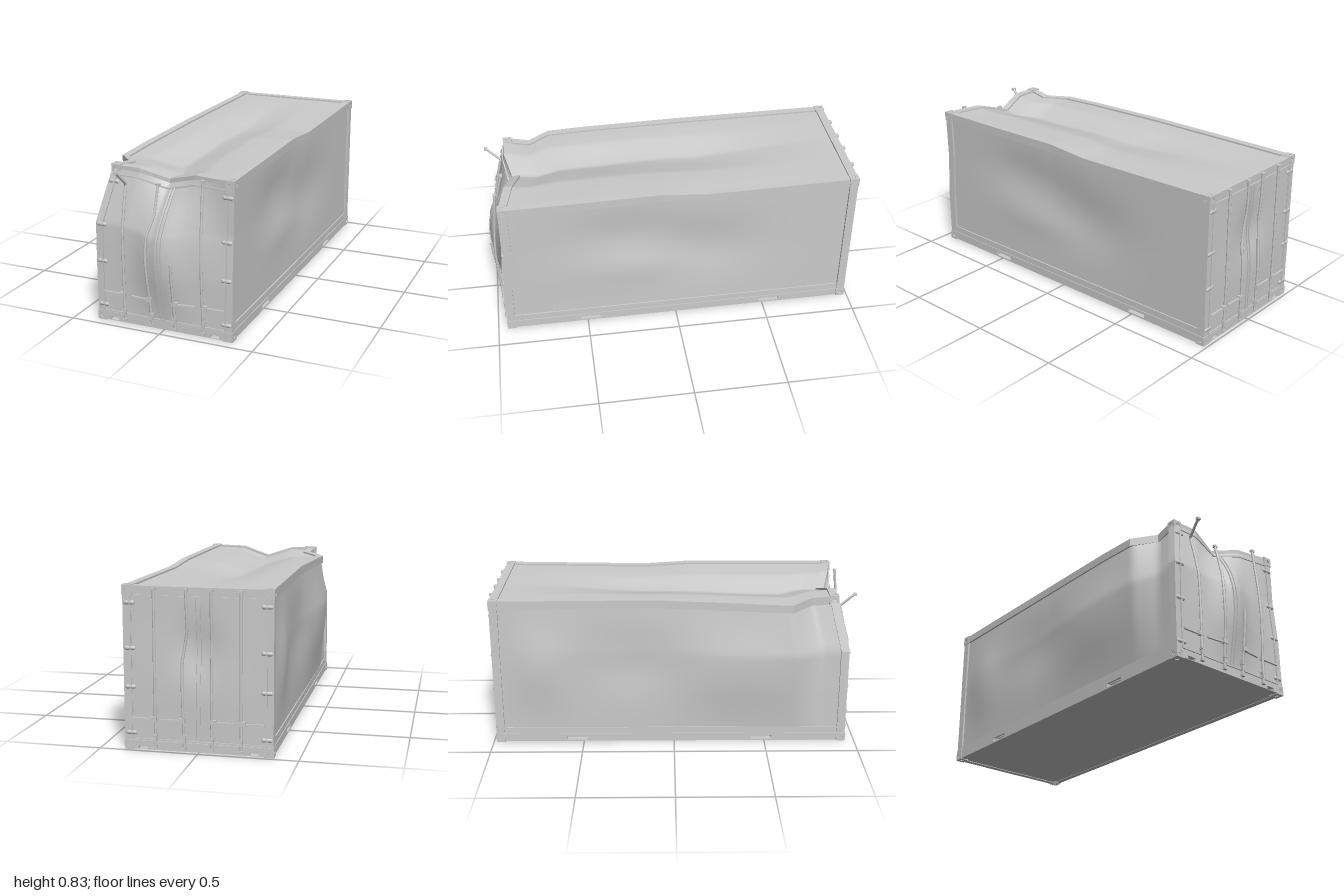
import * as THREE from 'three';

const V = (x, y, z) => new THREE.Vector3(x, y, z);
const X = V(1, 0, 0), Y = V(0, 1, 0), Z = V(0, 0, 1);
const grey = new THREE.MeshStandardMaterial({ color: 0xcccccc });
const sheet = new THREE.MeshStandardMaterial({ color: 0xcccccc, side: THREE.DoubleSide });
const bump = (a, b, ca, cb, ra, rb) => Math.exp(-(((a - ca) / ra) ** 2) - ((b - cb) / rb) ** 2);

function add(group, name, geometry, position, material = grey) {
  const mesh = new THREE.Mesh(geometry, material);
  mesh.name = name;
  if (position) mesh.position.copy(position);
  group.add(mesh);
  return mesh;
}

function path(points) {
  const curve = new THREE.CurvePath();
  for (let i = 1; i < points.length; i++) curve.add(new THREE.LineCurve3(points[i - 1], points[i]));
  return curve;
}

// Rectangular bar along bent points, its section spanned by two fixed axes
function beam(points, A, a, B, b) {
  const along = points.at(-1).clone().sub(points[0]);
  const pts = A.clone().cross(B).dot(along) < 0 ? [...points].reverse() : points;
  const pos = [], idx = [];
  for (const p of pts)
    for (const [s, t] of [[-1, -1], [1, -1], [1, 1], [-1, 1]])
      pos.push(...p.clone().addScaledVector(A, s * a).addScaledVector(B, t * b).toArray());
  const n = (pts.length - 1) * 4;
  for (let k = 0; k < n; k += 4)
    for (let i = 0; i < 4; i++) {
      const j = (i + 1) % 4;
      idx.push(k + i, k + j, k + 4 + j, k + i, k + 4 + j, k + 4 + i);
    }
  idx.push(0, 2, 1, 0, 3, 2, n, n + 1, n + 2, n, n + 2, n + 3);
  const g = new THREE.BufferGeometry();
  g.setAttribute('position', new THREE.Float32BufferAttribute(pos, 3));
  g.setIndex(idx);
  const flat = g.toNonIndexed();
  flat.computeVertexNormals();
  return flat;
}

// Surface stretched between four frame members, pushed along one axis by a dent rule
function patch(low, high, start, end, axis, dent) {
  const [c0, c1, d0, d1] = [low, high, start, end].map(path);
  const corner = [c0.getPoint(0), c0.getPoint(1), c1.getPoint(0), c1.getPoint(1)];
  return (u, v) => c0.getPoint(u).multiplyScalar(1 - v)
    .addScaledVector(c1.getPoint(u), v)
    .addScaledVector(d0.getPoint(v), 1 - u).addScaledVector(d1.getPoint(v), u)
    .addScaledVector(corner[0], -(1 - u) * (1 - v)).addScaledVector(corner[1], -u * (1 - v))
    .addScaledVector(corner[2], -(1 - u) * v).addScaledVector(corner[3], -u * v)
    .addScaledVector(axis, dent(u, v));
}

function panel(surface, nu, nv) {
  const g = new THREE.PlaneGeometry(1, 1, nu, nv);
  const p = g.attributes.position, uv = g.attributes.uv;
  for (let i = 0; i < p.count; i++) p.setXYZ(i, ...surface(uv.getX(i), uv.getY(i)).toArray());
  g.computeVertexNormals();
  return g;
}

// Bottom rail plate with fork pockets cut through it
function pocketRail(length, centres, halfWidth, y0, y1) {
  const rect = (T, x0, x1, a, b) => {
    const s = new T();
    s.moveTo(x0, a); s.lineTo(x1, a); s.lineTo(x1, b); s.lineTo(x0, b); s.closePath();
    return s;
  };
  const shape = rect(THREE.Shape, -length / 2, length / 2, 0.005, 0.05);
  for (const c of centres) shape.holes.push(rect(THREE.Path, c - halfWidth, c + halfWidth, y0, y1));
  return new THREE.ExtrudeGeometry(shape, { depth: 0.03, bevelEnabled: false }).translate(0, 0, -0.005);
}

// Hollow corner block: six holed plates around a core
function cornerCasting(position) {
  const group = new THREE.Group();
  group.name = 'cornerCasting';
  group.position.copy(position);
  const h = 0.025, s = new THREE.Shape();
  s.moveTo(-h, -h); s.lineTo(h, -h); s.lineTo(h, h); s.lineTo(-h, h); s.closePath();
  s.holes.push(new THREE.Path().absarc(0, 0, 0.012, 0, Math.PI * 2, true));
  const plate = new THREE.ExtrudeGeometry(s, { depth: 0.008, bevelEnabled: false, curveSegments: 8 }).translate(0, 0, 0.017);
  for (let i = 0; i < 4; i++) add(group, 'castingPlate', plate).rotation.y = i * Math.PI / 2;
  for (const r of [-1, 1]) add(group, 'castingPlate', plate).rotation.x = r * Math.PI / 2;
  add(group, 'castingCore', new THREE.BoxGeometry(0.034, 0.034, 0.034));
  return group;
}

// Double doors with seals, lock rods, handles and hinges
function doorEnd(name, surface, sign, rods) {
  const group = new THREE.Group();
  group.name = name;
  add(group, 'doorPanels', panel(surface, 64, 48), null, sheet);
  const zAt = (x, y) => {
    let u = 0.5, v = 0.5, p;
    for (let i = 0; i < 12; i++) {
      p = surface(u, v);
      u = THREE.MathUtils.clamp(u + (x - p.x) / 0.71, 0, 1);
      v = THREE.MathUtils.clamp(v + (y - p.y) / 0.77, 0, 1);
    }
    return surface(u, v).z;
  };
  const steps = [...Array(25).keys()].map(i => i / 24);
  for (const u of [0.02, 0.485, 0.515, 0.98])
    add(group, 'doorSeal', beam(steps.map(t => surface(u, 0.04 + 0.93 * t)), X, 0.004, Z, 0.006));
  for (const v of [0.04, 0.965])
    add(group, 'doorSeal', beam(steps.map(t => surface(0.02 + 0.96 * t, v)), Y, 0.004, Z, 0.006));
  for (const rod of rods) {
    const at = (x, y, push = 0) => V(x, y, zAt(x, y) + sign * (0.01 + push));
    // Rod is resampled so that it follows the buckled doors
    const pts = [];
    for (let i = 0; i < rod.length - 1; i++)
      for (let k = 0; k < 6; k++) {
        const [a, b] = [rod[i], rod[i + 1]].map(([x, y, push = 0]) => V(x, y, push));
        pts.push(at(...a.lerp(b, k / 6).toArray()));
      }
    pts.push(at(...rod.at(-1)));
    add(group, 'lockRod', new THREE.TubeGeometry(path(pts), 48, 0.007, 8));
    const [x, y] = rod[0], dir = Math.sign(rod[0][2] ?? 1);
    const top = pts.at(-1);
    for (const [w, h, py] of [[0.02, 0.012, 0.025], [0.015, 0.025, 0.065], [0.02, 0.008, 0.085]])
      add(group, 'rodKeeper', new THREE.BoxGeometry(w, h, 0.018), at(x, py, -0.001));
    if (top.y > 0.5) add(group, 'rodCam', new THREE.BoxGeometry(0.022, 0.012, 0.016), top);
    const side = Math.abs(x) > 0 ? Math.sign(x) : dir;
    add(group, 'handleHub', new THREE.BoxGeometry(0.03, 0.022, 0.018), at(x + side * 0.008, 0.165));
    add(group, 'handle', beam([0, 0.04, 0.08, 0.115].map(d => at(x + side * d, 0.162)), Y, 0.005, Z, 0.005));
  }
  const hinge = new THREE.CapsuleGeometry(0.011, 0.035, 4, 8).rotateZ(Math.PI / 2).scale(1, 1, 0.7);
  for (const v of [0.08, 0.38, 0.63, 0.92])
    for (const u of [0.015, 0.985]) add(group, 'hinge', hinge, surface(u, v));
  return group;
}

export function createModel() {
  const model = new THREE.Group();
  model.name = 'dentedContainer';

  // Frame corners and bent centre lines
  const bRL = V(-0.352, 0.026, -0.96), bRR = V(0.352, 0.026, -0.96);
  const bFL = V(-0.352, 0.026, 0.925), bFR = V(0.352, 0.026, 0.925);
  const tRL = V(-0.352, 0.8, -0.96), tRR = V(0.352, 0.8, -0.96);
  const tFL = V(-0.28, 0.8, 0.86), tFR = V(0.355, 0.8, 0.905);
  const postFL = [bFL, V(-0.352, 0.3, 0.925), V(-0.348, 0.53, 0.925), tFL];
  const postFR = [bFR, V(0.352, 0.3, 0.923), V(0.352, 0.55, 0.905), tFR];
  const postRL = [bRL, tRL], postRR = [bRR, tRR];
  const railL = [tRL, V(-0.345, 0.802, -0.1), V(-0.36, 0.785, 0.4), V(-0.362, 0.775, 0.63), V(-0.265, 0.785, 0.74), tFL];
  const railR = [tRR, V(0.352, 0.788, -0.17), V(0.346, 0.805, 0.08), V(0.352, 0.802, 0.5), tFR];
  const headF = [tFL, V(-0.15, 0.798, 0.862), V(0, 0.75, 0.825), V(0.16, 0.798, 0.868), tFR];
  const headR = [tRL, tRR];

  for (const p of [postFL, postFR, postRL, postRR]) add(model, 'cornerPost', beam(p, X, 0.022, Z, 0.022));
  for (const p of [railL, railR]) add(model, 'topSideRail', beam(p, X, 0.021, Y, 0.022));
  for (const p of [headF, headR]) add(model, 'topEndRail', beam(p, Y, 0.021, Z, 0.022));
  for (const p of [bRL, bRR, bFL, bFR, tRL, tRR, tFL, tFR]) model.add(cornerCasting(p));

  // Bottom rails, fork pockets and floor
  for (const s of [-1, 1]) {
    const side = add(model, 'bottomSideRail', pocketRail(1.88, [-s * 0.52, s * 0.02 - s * 0.52 + s * 1.0].map(c => -c), 0.055, 0.014, 0.034));
    side.position.set(s * 0.348, 0, -0.0175);
    side.rotation.y = s * Math.PI / 2;
    const end = add(model, 'bottomEndRail', pocketRail(0.7, [-0.28, 0.28], 0.024, 0.008, 0.024));
    end.position.z = s > 0 ? 0.924 : -0.96;
    if (s < 0) end.rotation.y = Math.PI;
    add(model, 'lowerFlange', new THREE.BoxGeometry(0.016, 0.036, 1.85), V(s * 0.361, 0.067, -0.0175));
  }
  add(model, 'floor', new THREE.BoxGeometry(0.69, 0.03, 1.87), V(0, 0.023, -0.0175));

  // Dented walls and roof
  const wallR = patch([bRR, bFR], railR, postRR, postFR, X, (u, v) => 0.01 - Math.sin(Math.PI * u) ** 0.5 * Math.sin(Math.PI * v) ** 0.5 *
    (0.022 * bump(u, v, 0.68, 0.72, 0.16, 0.2) + 0.022 * bump(u, v, 0.42, 0.55, 0.16, 0.25) - 0.008 * bump(u, v, 0.62, 0.4, 0.15, 0.12)));
  const wallL = patch([bRL, bFL], railL, postRL, postFL, X, (u, v) => -0.01 - Math.sin(Math.PI * v) *
    (0.022 * bump(u, v, 0.12, 0.55, 0.08, 0.35) + 0.018 * bump(u, v, 0.68, 0.5, 0.16, 0.35) - 0.02 * bump(u, v, 0.4, 0.6, 0.14, 0.3)));
  const roof = patch(headR, headF, railL, railR, Y, (u, v) => 0.013 - Math.sin(Math.PI * u) *
    (0.02 * bump(u, v, 0.45, 0.45, 0.25, 0.2) + 0.012 * bump(u, v, 0.4, 0.75, 0.2, 0.15)));
  add(model, 'rightWall', panel(wallR, 80, 32), null, sheet);
  add(model, 'leftWall', panel(wallL, 80, 32), null, sheet);
  add(model, 'roof', panel(roof, 48, 80), null, sheet);

  // Buckled front doors and lightly dented rear doors
  const front = patch([bFL, bFR], headF, postFL, postFR, Z, (u, v) =>
    0.022 + Math.sin(Math.PI * v ** 1.3) * (0.085 * bump(u, 0, 0.5, 0, 0.2, 1) + 0.012 * bump(u, v, 0.8, 0.6, 0.12, 0.3)));
  const rear = patch([bRL, bRR], headR, postRL, postRR, Z, (u, v) =>
    -0.02 + Math.sin(Math.PI * v) * (0.024 * bump(u, v, 0.5, 0.65, 0.15, 0.2) - 0.008 * bump(u, v, 0.5, 0.35, 0.35, 0.3)));
  model.add(doorEnd('frontDoors', front, 1, [
    [[-0.215, 0.025], [-0.215, 0.74], [-0.228, 0.81, 0.09]],
    [[-0.06, 0.025], [-0.075, 0.4], [-0.07, 0.5], [-0.04, 0.61], [-0.035, 0.755, 0.04]],
    [[0.067, 0.025], [0.067, 0.38]],
    [[0.22, 0.025], [0.22, 0.81, 0.03]],
  ]));
  model.add(doorEnd('rearDoors', rear, -1, [
    [[-0.215, 0.025], [-0.215, 0.81]],
    [[-0.07, 0.025], [-0.07, 0.81]],
    [[0.07, 0.025], [0.078, 0.45], [0.05, 0.62], [0.055, 0.81]],
    [[0.215, 0.025], [0.215, 0.81]],
  ]));
  return model;
}
